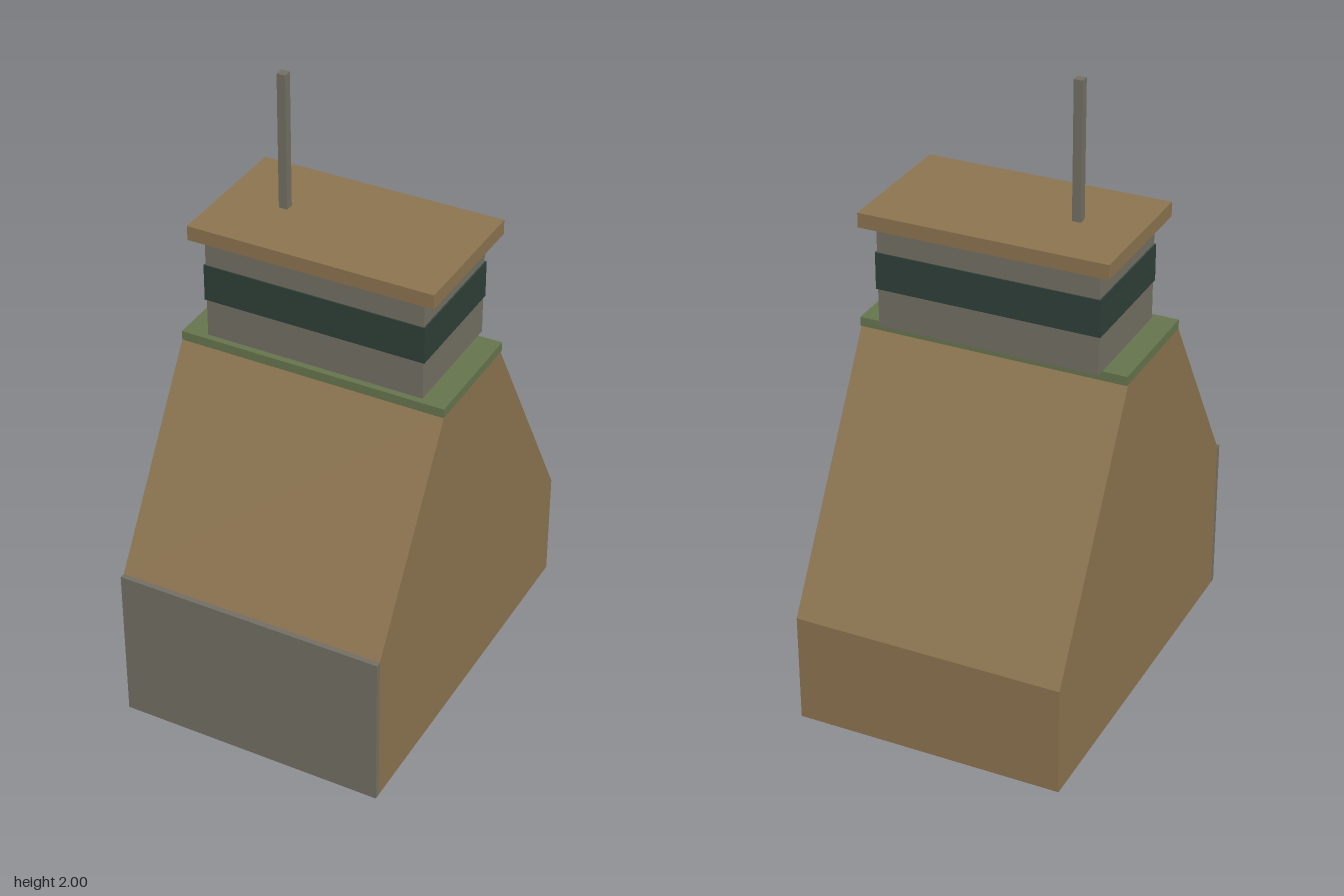
import * as THREE from 'three';

function material(name, color) {
  const m = new THREE.MeshStandardMaterial({ color });
  m.name = name;
  return m;
}

export function createModel() {
  const group = new THREE.Group();
  const tan = material('tan', 0x8b734f);
  const grey = material('stoneGrey', 0x726e62);
  const green = material('mossGreen', 0x66734d);
  const glass = material('darkGreenGlass', 0x2f3f38);

  function add(name, geometry, mat) {
    const mesh = new THREE.Mesh(geometry, mat);
    mesh.name = name;
    group.add(mesh);
    return mesh;
  }

  // Box given by its lower and upper corners
  function box(name, mat, [x0, y0, z0], [x1, y1, z1]) {
    const mesh = add(name, new THREE.BoxGeometry(x1 - x0, y1 - y0, z1 - z0), mat);
    mesh.position.set((x0 + x1) / 2, (y0 + y1) / 2, (z0 + z1) / 2);
  }

  // Sloped base: side profile (z, y) extruded across x
  const halfWidth = 0.437;
  const profile = new THREE.Shape([
    [0.61, 0], [0.61, 0.525], [0.22, 1.15],
    [-0.165, 1.15], [-0.628, 0.365], [-0.628, 0],
  ].map(([z, y]) => new THREE.Vector2(-z, y)));
  const base = new THREE.ExtrudeGeometry(profile, { depth: halfWidth * 2, bevelEnabled: false });
  base.translate(0, 0, -halfWidth);
  base.rotateY(Math.PI / 2);
  add('slopedBase', base, tan);

  // Front wall plate and deck
  box('frontPlate', grey, [-halfWidth, 0, 0.61], [halfWidth, 0.525, 0.628]);
  box('deck', green, [-halfWidth, 1.15, -0.173], [halfWidth, 1.18, 0.221]);

  // Cabin with a window band all round
  box('cabin', grey, [-0.358, 1.18, -0.2], [0.358, 1.515, 0.2]);
  box('windowBand', glass, [-0.363, 1.305, -0.204], [0.363, 1.425, 0.204]);

  // Roof and mast
  box('roof', tan, [-0.4, 1.513, -0.236], [0.4, 1.56, 0.227]);
  box('mast', grey, [-0.216, 1.56, -0.019], [-0.188, 2, 0.009]);

  return group;
}
